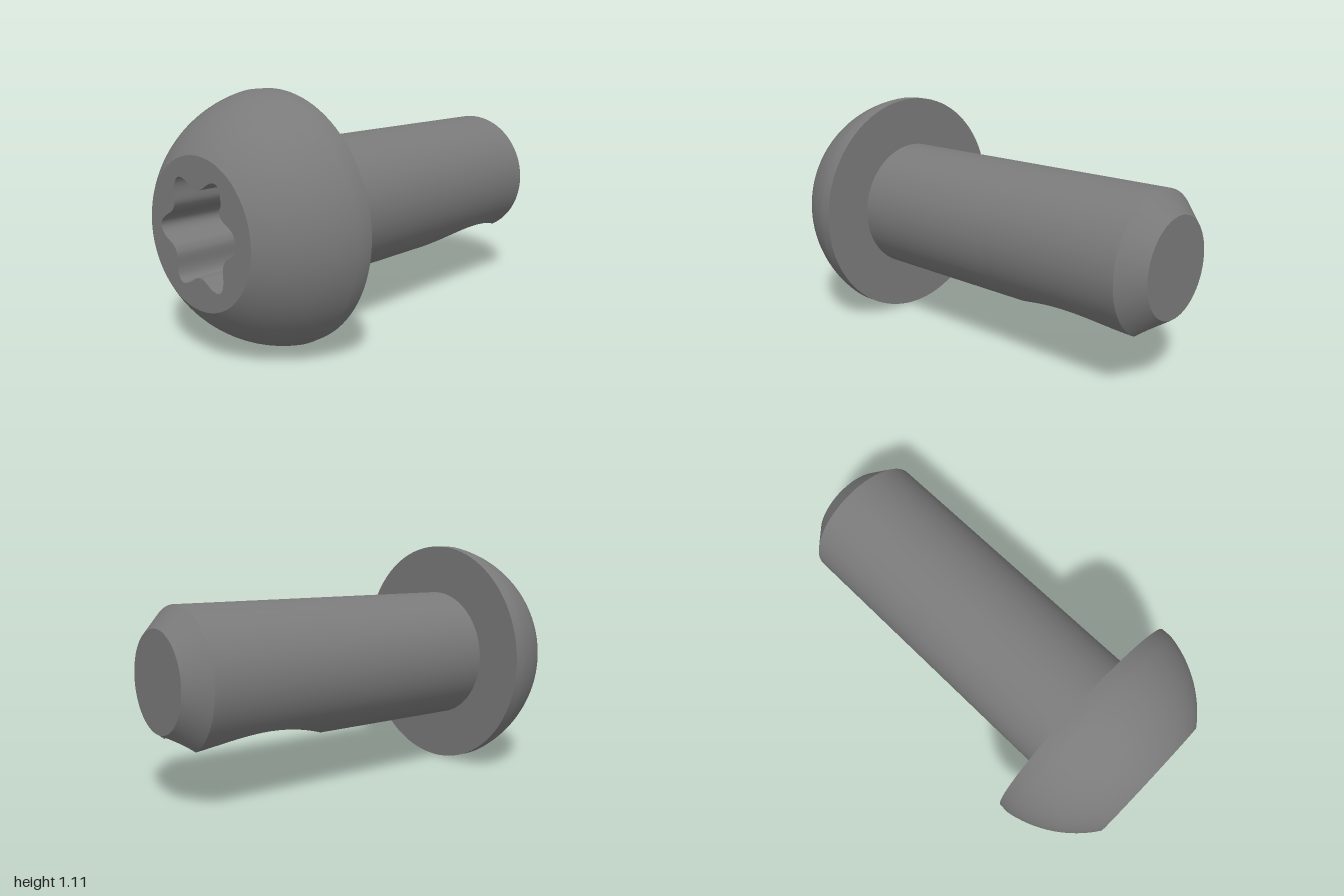
import * as THREE from 'three';
import { toCreasedNormals } from 'three/addons/utils/BufferGeometryUtils.js';

const AXIS = 0.555;                                   // height of the screw axis
const HEAD_X = -0.59, CHAMFER_X = 0.905, SHAFT_R = 0.317, TIP_R = 0.222;
const POCKET = { x: 0.6, a: 0.4, b: 0.226 };          // elliptical pocket, seen from below

// Surface grid through the rows of points point(u, v)
function grid(us, vs, point) {
  const pos = [], index = [], w = vs.length;
  us.forEach(u => vs.forEach(v => pos.push(...point(u, v))));
  for (let i = 0; i < us.length - 1; i++) {
    for (let j = 0; j < w - 1; j++) {
      const a = i * w + j, b = a + w;
      index.push(a, b, b + 1, a, b + 1, a + 1);
    }
  }
  const g = new THREE.BufferGeometry();
  g.setAttribute('position', new THREE.Float32BufferAttribute(pos, 3));
  g.setIndex(index);
  return toCreasedNormals(g, 0.6);
}

const steps = (from, to, n) => Array.from({ length: n + 1 }, (_, i) => from + (to - from) * i / n);

// Shaft radius along x, with the chamfered tip
const radiusAt = x => x <= CHAMFER_X ? SHAFT_R
  : THREE.MathUtils.mapLinear(x, CHAMFER_X, 1, SHAFT_R, TIP_R);
const pocketX = t => POCKET.x - POCKET.a * Math.cos(t);
const pocketZ = t => POCKET.b * Math.sin(t);

// Six-lobed socket outline with narrow lobes and wide flutes
function socketPoint(t) {
  const r = 0.18 + 0.07 * Math.pow((1 + Math.cos(6 * t)) / 2, 1.3);
  return new THREE.Vector2(r * Math.cos(t), r * Math.sin(t));
}

export function createModel() {
  const group = new THREE.Group();
  const steel = new THREE.MeshStandardMaterial({ color: 0x7a7a7a });
  steel.name = 'dark steel';
  const add = (name, geometry) => {
    const mesh = new THREE.Mesh(geometry, steel);
    mesh.name = name;
    group.add(mesh);
    return mesh;
  };

  // Domed head with a short straight rim and flat underside
  const domeX = -0.532, domeR = Math.hypot(0.468, 0.318);
  const profile = steps(-1, -0.64, 20).map(x =>
    new THREE.Vector2(Math.sqrt(domeR ** 2 - (x - domeX) ** 2), x));
  profile.push(new THREE.Vector2(0.555, HEAD_X), new THREE.Vector2(SHAFT_R, HEAD_X));
  const head = new THREE.LatheGeometry(profile, 96);
  head.rotateZ(-Math.PI / 2).translate(0, AXIS, 0);
  add('head', toCreasedNormals(head, 0.6));

  // Flat head face around the socket
  const turns = steps(0, Math.PI * 2, 144);
  const outline = turns.slice(0, -1).map(socketPoint);
  const face = new THREE.Shape().absarc(0, 0, 0.318, 0, Math.PI * 2);
  face.holes.push(new THREE.Path(outline));
  add('headFace', new THREE.ShapeGeometry(face, 48).rotateY(-Math.PI / 2).translate(-1, AXIS, 0));

  // Socket walls and floor
  const floorX = -0.7;
  add('socketWall', grid(turns, [-1, floorX], (t, x) => {
    const p = socketPoint(t);
    return [x, AXIS + p.y, p.x];
  }));
  add('socketFloor', new THREE.ShapeGeometry(new THREE.Shape(outline))
    .rotateY(-Math.PI / 2).translate(floorX, AXIS, 0));

  // Shaft and tip: each ring leaves a gap where the pocket cuts it
  const cut = Math.acos((POCKET.x - CHAMFER_X) / POCKET.a);
  const shaftSteps = steps(0, cut, 28), tipSteps = steps(cut, Math.PI, 14);
  const ringPoint = ([x, halfWidth], v) => {
    const r = radiusAt(x), gap = Math.asin(halfWidth / r);
    const angle = gap + (Math.PI * 2 - 2 * gap) * v;
    return [x, AXIS - r * Math.cos(angle), r * Math.sin(angle)];
  };
  const around = steps(0, 1, 96);
  const ring = t => [pocketX(t), Math.max(0, pocketZ(t))];
  add('shaft', grid([[HEAD_X, 0], ...shaftSteps.map(ring)], around, ringPoint));
  add('chamferedTip', grid(tipSteps.map(ring), around, ringPoint));
  add('tipFace', new THREE.CircleGeometry(TIP_R, 96).rotateY(Math.PI / 2).translate(1, AXIS, 0));

  // Pocket under the shaft: upright walls rising to a flat ceiling on the axis
  const half = [...shaftSteps, ...tipSteps.slice(1)];
  const loop = [...half, ...half.slice(0, -1).reverse().map(t => Math.PI * 2 - t)];
  add('pocketWall', grid(loop, [0, 1], (t, v) => {
    const x = pocketX(t), z = pocketZ(t);
    const depth = Math.sqrt(radiusAt(x) ** 2 - z * z);
    return [x, AXIS - depth * v, z];
  }));
  const ceiling = new THREE.Shape().absellipse(0, 0, POCKET.a, POCKET.b, 0, Math.PI * 2);
  add('pocketCeiling', new THREE.ShapeGeometry(ceiling, 48)
    .rotateX(Math.PI / 2).translate(POCKET.x, AXIS, 0));

  return group;
}
